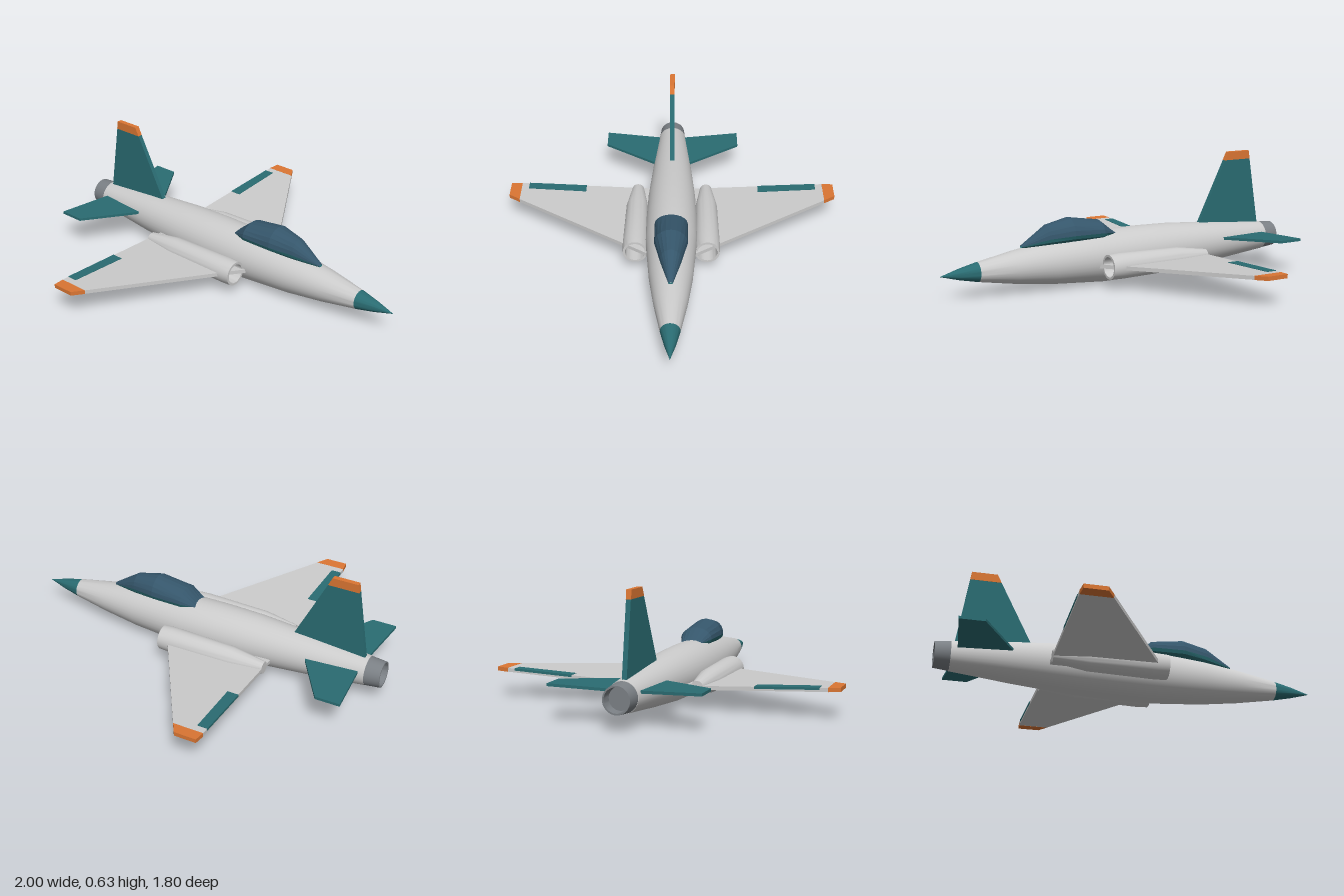
import * as THREE from 'three';
import { toCreasedNormals } from 'three/addons/utils/BufferGeometryUtils.js';

const mat = (color, extra = {}) => new THREE.MeshStandardMaterial({ color, ...extra });
const grey = mat(0xcccccc);
const teal = mat(0x2a6c72);
const orange = mat(0xdb7633);
const steel = mat(0x7b8085);
const dark = mat(0x2b3236);
const glass = mat(0x35566b, { flatShading: true, side: THREE.DoubleSide });
const frame = mat(0x2a6c72, { flatShading: true, side: THREE.DoubleSide });

// Body of revolution along x from [x, radius] pairs, tail to nose
function turned(profile) {
  const pts = profile.map(([x, r]) => new THREE.Vector2(r, x));
  const geo = new THREE.LatheGeometry(pts, 36).rotateZ(-Math.PI / 2);
  return toCreasedNormals(geo, 0.5);
}

// Fuselage centreline drops slightly towards the nose
function alongBody(geo) {
  const p = geo.attributes.position;
  for (let i = 0; i < p.count; i++) p.setY(i, p.getY(i) + 0.136 - 0.01 * p.getX(i));
  return geo;
}

// Flat plate extruded symmetrically from an [x, y] outline
function plate(outline, thickness) {
  const shape = new THREE.Shape(outline.map(([x, y]) => new THREE.Vector2(x, y)));
  return new THREE.ExtrudeGeometry(shape, { depth: thickness, bevelEnabled: false })
    .translate(0, 0, -thickness / 2);
}

// Horizontal surface from an [x, span] outline, rising towards its tip
function wingPlate(outline, side, thickness, y0, rise) {
  const geo = plate(outline.map(([x, z]) => [x, z * side]), thickness).rotateX(Math.PI / 2);
  const p = geo.attributes.position;
  for (let i = 0; i < p.count; i++) p.setY(i, p.getY(i) + y0 + rise * Math.abs(p.getZ(i)));
  geo.computeVertexNormals();
  return geo;
}

// Half-elliptical shell lofted over [x, half width, sill height, rise] stations
function shell(stations, from, to, steps) {
  const pos = [], idx = [];
  stations.forEach(([x, w, sill, rise], i) => {
    for (let j = 0; j <= steps; j++) {
      const a = from + (to - from) * j / steps;
      pos.push(x, sill + rise * Math.sin(a), w * Math.cos(a));
      if (i < stations.length - 1 && j < steps) {
        const p = i * (steps + 1) + j, q = p + steps + 1;
        idx.push(p, q, p + 1, q, q + 1, p + 1);
      }
    }
  });
  const geo = new THREE.BufferGeometry();
  geo.setAttribute('position', new THREE.Float32BufferAttribute(pos, 3));
  geo.setIndex(idx);
  geo.computeVertexNormals();
  return geo;
}

export function createModel() {
  const model = new THREE.Group();
  model.name = 'jetAircraft';
  const add = (name, geo, material, parent = model) => {
    const mesh = new THREE.Mesh(geo, material);
    mesh.name = name;
    parent.add(mesh);
    return mesh;
  };

  // Fuselage, nose cone and hollow exhaust nozzle
  add('fuselage', alongBody(turned([[-0.92, 0], [-0.92, 0.077], [-0.6, 0.107], [-0.3, 0.13],
    [-0.1, 0.136], [0.1, 0.136], [0.4, 0.112], [0.6, 0.085], [0.8, 0.05]])), grey);
  add('noseCone', alongBody(turned([[0.8, 0.05], [0.9, 0.028], [1, 0]])), teal);
  add('nozzle', alongBody(turned([[-0.95, 0], [-0.95, 0.056], [-1, 0.06], [-1, 0.068],
    [-0.915, 0.076]])), steel);

  // Canopy glass over its frame
  const stations = [[0.04, 0.055, 0.258, 0.005], [0.12, 0.086, 0.27, 0.06],
    [0.29, 0.086, 0.272, 0.085], [0.42, 0.056, 0.262, 0.068], [0.56, 0.012, 0.23, 0.007]];
  add('canopyGlass', shell(stations, 0, Math.PI, 10), glass);
  add('canopyFrame', shell(stations.map(([x, w, s, r]) => [x, w, s, Math.min(r, 0.045)]),
    Math.PI, 2 * Math.PI, 8), frame);

  // Tail fin with coloured tip
  add('tailFin', plate([[-0.905, 0.19], [-0.48, 0.19], [-0.51, 0.25], [-0.678, 0.585],
    [-0.842, 0.585], [-0.9, 0.22]], 0.024), teal);
  add('tailFinTip', plate([[-0.842, 0.585], [-0.678, 0.585], [-0.7, 0.63], [-0.835, 0.63]], 0.026), orange);

  for (const side of [1, -1]) {
    const half = new THREE.Group();
    half.name = side > 0 ? 'leftSide' : 'rightSide';
    // Wing, tip and aileron
    const y0 = 0.104, rise = 0.047;
    add('wing', wingPlate([[-0.43, 0.12], [0.18, 0.12], [-0.27, 0.84], [-0.43, 0.84]],
      side, 0.02, y0, rise), grey, half);
    add('wingTip', wingPlate([[-0.43, 0.84], [-0.27, 0.84], [-0.308, 0.9], [-0.424, 0.9]],
      side, 0.021, y0, rise), orange, half);
    add('aileron', wingPlate([[-0.432, 0.48], [-0.372, 0.48], [-0.378, 0.8], [-0.432, 0.8]],
      side, 0.012, y0 + 0.006, rise), teal, half);

    // Horizontal stabilizer
    add('stabilizer', wingPlate([[-0.885, 0.04], [-0.575, 0.04], [-0.79, 0.38], [-0.92, 0.38]],
      side, 0.014, 0.166, 0.04), teal, half);

    // Engine pod with an open intake
    const pod = new THREE.Group();
    pod.name = 'enginePod';
    pod.position.set(0, 0.116, 0.19 * side);
    add('podShell', turned([[-0.43, 0], [-0.43, 0.032], [-0.25, 0.06], [0.1, 0.067],
      [0.16, 0.064], [0.16, 0.052], [0.06, 0.05]]), grey, pod);
    add('intakeFace', new THREE.CircleGeometry(0.052, 32).rotateY(Math.PI / 2).translate(0.065, 0, 0),
      dark, pod);
    half.add(pod);
    model.add(half);
  }
  return model;
}
